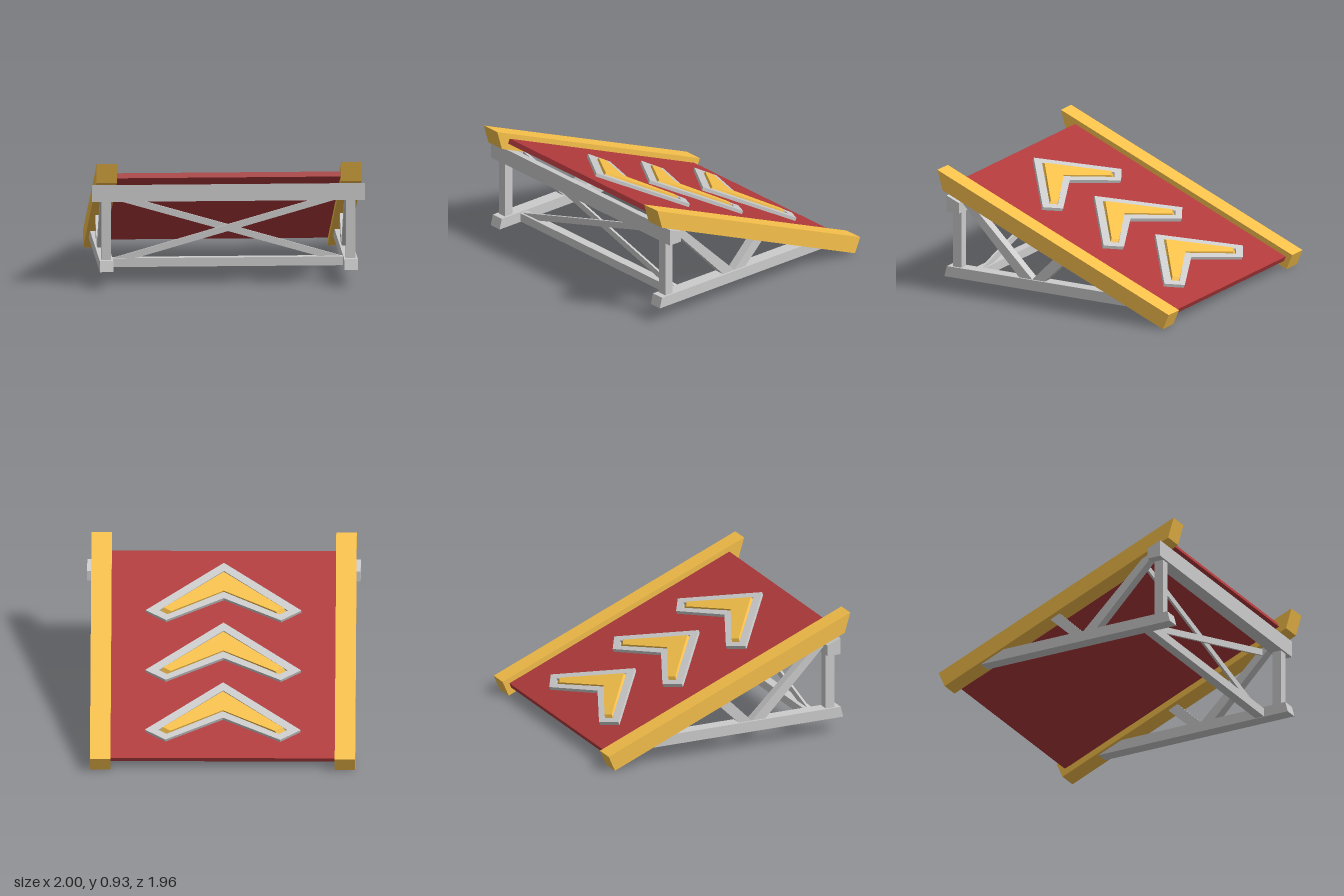
import * as THREE from 'three';

const grey = new THREE.MeshStandardMaterial({ color: 0xcccccc, flatShading: true });
const gold = new THREE.MeshStandardMaterial({ color: 0xf6c04b, flatShading: true });
const red = new THREE.MeshStandardMaterial({ color: 0xb13a3c, flatShading: true });

const SLOPE = 0.417;
const TILT = Math.atan(SLOPE);
const railBottom = (z) => 0.389 + SLOPE * z;

const toShape = (pts) => new THREE.Shape(pts.map(([a, b]) => new THREE.Vector2(a, b)));

function add(parent, name, geometry, material) {
  const mesh = new THREE.Mesh(geometry, material);
  mesh.name = name;
  parent.add(mesh);
  return mesh;
}

// Side profile of [z, y] points, extruded along x from x0 to x1
function prism(parent, name, pts, x0, x1, material) {
  const g = new THREE.ExtrudeGeometry(toShape(pts), { depth: x1 - x0, bevelEnabled: false });
  g.rotateY(-Math.PI / 2).translate(x1, 0, 0);
  return add(parent, name, g, material);
}

function box(parent, name, size, pos, material) {
  const mesh = add(parent, name, new THREE.BoxGeometry(...size), material);
  mesh.position.set(...pos);
  return mesh;
}

// Mirrored outline of an arrow: [x, z] points of the outer tip, inner tip, notch and apex,
// laid out on the deck plane
function arrowOutline(outer, inner, notch, apex) {
  const pts = [[0, apex], outer, inner, [0, notch], [-inner[0], inner[1]], [-outer[0], outer[1]]];
  return pts.map(([x, z]) => [x, -(z + 0.01) / Math.cos(TILT)]);
}

export function createModel() {
  const model = new THREE.Group();
  model.name = 'ramp';

  // Sloping deck
  prism(model, 'deck', [[0.86, 0.84], [-0.925, 0.095], [-0.91, 0.06], [0.875, 0.805]], -0.82, 0.82, red);

  for (const side of [-1, 1]) {
    const frame = new THREE.Group();
    frame.name = side > 0 ? 'leftSide' : 'rightSide';
    model.add(frame);
    const bar = (name, pts, a, b, mat) =>
      prism(frame, name, pts, Math.min(side * a, side * b), Math.max(side * a, side * b), mat);

    // Side rail and the base beam cut to its underside
    bar('sideRail', [[0.98, 0.93], [-0.98, 0.115], [-0.93, 0], [0.935, 0.78]], 0.82, 0.97, gold);
    bar('baseBeam', [[0.915, 0.2], [-0.453, 0.2], [-0.645, 0.12], [0.935, 0.12]], 0.845, 0.945, grey);

    // Upright post and the two slanted struts
    bar('post', [[0.87, 0.2], [0.87, 0.64], [0.8, 0.64], [0.8, 0.2]], 0.86, 0.93, grey);
    bar('longStrut', [[0.31, 0.2], [0.82, 0.725], [0.745, railBottom(0.745)], [0.695, railBottom(0.695)], [0.2, 0.2]],
      0.86, 0.93, grey);
    bar('shortStrut', [[0.2, 0.2], [0.008, railBottom(0.008)], [-0.07, railBottom(-0.07)], [0.095, 0.2]],
      0.86, 0.93, grey);
  }

  // Cross beams at the high end
  prism(model, 'topCrossBeam', [[0.885, 0.757], [0.78, 0.714], [0.78, 0.632], [0.885, 0.632]], -1, 1, grey);
  box(model, 'lowerCrossBeam', [1.7, 0.065, 0.07], [0, 0.157, 0.7], grey);

  // Crossed braces
  for (const side of [-1, 1]) {
    const brace = box(model, 'crossBrace', [1.8, 0.048, 0.018], [0, 0.405, 0.698 + side * 0.009], grey);
    brace.rotation.z = side * 0.28;
  }

  // Three raised arrows on the deck, each a frame around a tapered insert
  const deckPlane = new THREE.Group();
  deckPlane.name = 'arrows';
  deckPlane.position.y = 0.481;
  deckPlane.rotation.x = -(Math.PI / 2 + TILT);
  model.add(deckPlane);

  const outer = arrowOutline([0.57, -0.71], [0.42, -0.795], -0.605, -0.3);
  const inner = arrowOutline([0.47, -0.71], [0.41, -0.745], -0.55, -0.37);
  const frameShape = toShape(outer);
  frameShape.holes.push(new THREE.Path(inner.map(([a, b]) => new THREE.Vector2(a, b))));
  const frameGeo = new THREE.ExtrudeGeometry(frameShape, { depth: 0.025, bevelEnabled: false });

  const insertGeo = new THREE.ExtrudeGeometry(toShape(inner), { depth: 0.037, bevelEnabled: false });
  const p = insertGeo.attributes.position;
  const notchY = inner[3][1];
  for (let i = 0; i < p.count; i++) {
    if (p.getZ(i) > 0.01) p.setXY(i, p.getX(i) * 0.93, notchY + (p.getY(i) - notchY) * 0.91);
  }
  insertGeo.computeVertexNormals();

  for (let i = 0; i < 3; i++) {
    const arrow = new THREE.Group();
    arrow.name = 'arrow';
    arrow.position.y = (-0.515 * i) / Math.cos(TILT);
    add(arrow, 'arrowFrame', frameGeo, grey);
    add(arrow, 'arrowInsert', insertGeo, gold);
    deckPlane.add(arrow);
  }

  return model;
}
